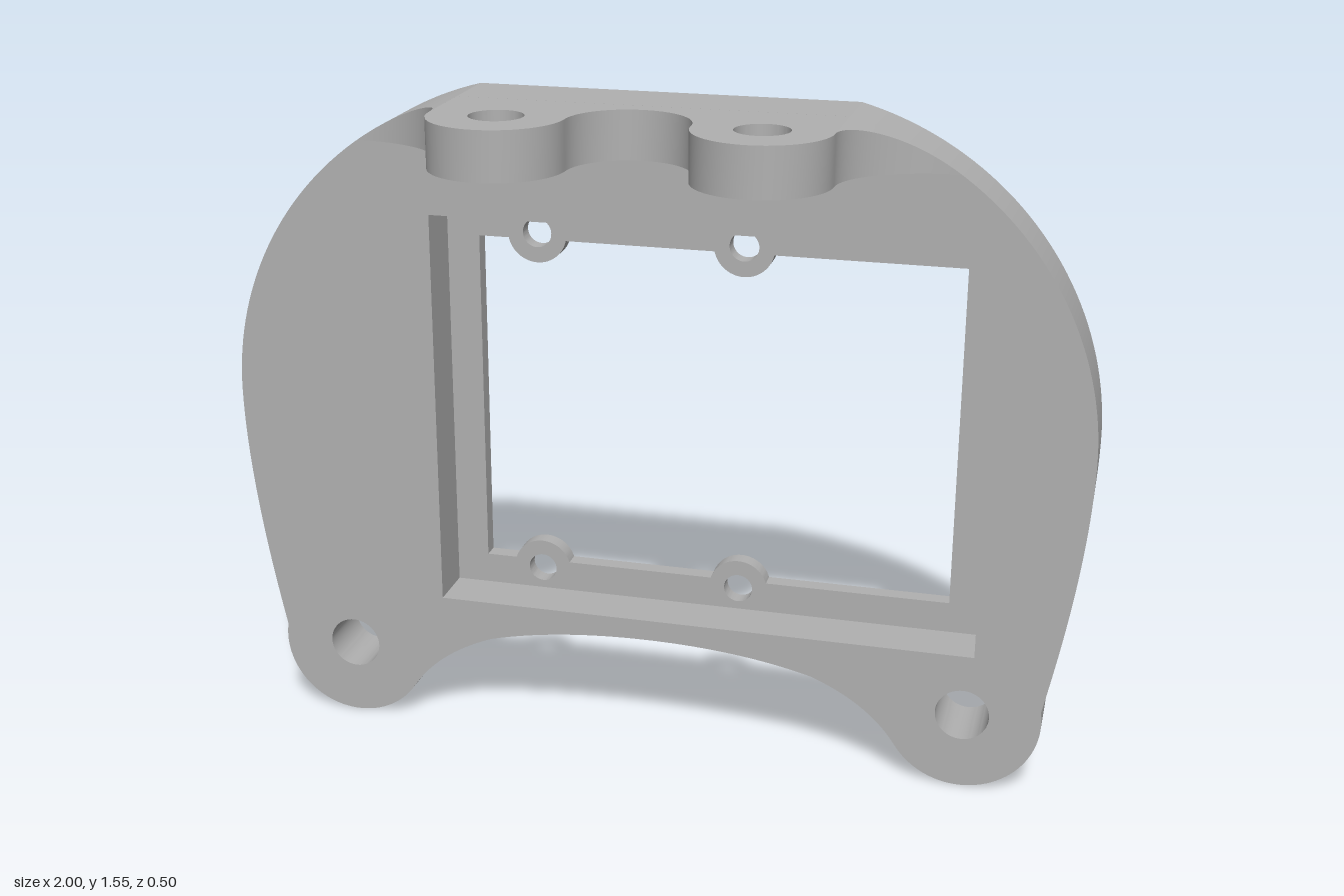
import * as THREE from 'three';
import { toCreasedNormals } from 'three/addons/utils/BufferGeometryUtils.js';

const BACK = -0.255, LEDGE = -0.2, FRONT = -0.078; // plate levels in z
const TOP = 1.55, UNDER = 1.44;                    // bracket levels in y
const CHAMFER = 0.016;
const FLAT = 0.435;                                // half width of the flat top
const ARC = { x: 0.2458, y: 0.82, r: 0.7542 };     // shoulder arc

// Remove doubled points from a loop
const clean = (pts) => pts.filter((p, i) => p.distanceTo(pts[(i + 1) % pts.length]) > 1e-5);

const arc = (x, y, r, a0, a1, n) => Array.from({ length: n + 1 }, (_, i) => {
  const a = a0 + (a1 - a0) * i / n;
  return new THREE.Vector2(x + r * Math.cos(a), y + r * Math.sin(a));
});
// Holes run clockwise, so that the same wall rule faces into the hole
const circle = (x, y, r) => clean(arc(x, y, r, Math.PI * 2, 0, 48));

// Move a loop into the material by d, with mitred corners
function inset(pts, d) {
  const n = pts.length;
  const normal = (a, b) => new THREE.Vector2(b.y - a.y, a.x - b.x).normalize();
  return pts.map((p, i) => {
    const n1 = normal(pts[(i + n - 1) % n], p), n2 = normal(p, pts[(i + 1) % n]);
    const k = -d / (1 + n1.dot(n2));
    return new THREE.Vector2(p.x + (n1.x + n2.x) * k, p.y + (n1.y + n2.y) * k);
  });
}

function quad(out, a, b, c, d) {
  out.push(...a, ...b, ...c, ...a, ...c, ...d);
}

// Wall between loop p at height w0 and loop q at height w1
function wall(out, p, w0, q, w1, closed = true) {
  const n = p.length;
  for (let i = 0; i < (closed ? n : n - 1); i++) {
    const j = (i + 1) % n;
    quad(out, [p[i].x, p[i].y, w0], [p[j].x, p[j].y, w0], [q[j].x, q[j].y, w1], [q[i].x, q[i].y, w1]);
  }
}

// Flat face with holes
function cap(out, contour, holes, w, flip = false) {
  const shape = new THREE.Shape(contour);
  shape.holes = holes.map((h) => new THREE.Path(h));
  const geo = new THREE.ShapeGeometry(shape);
  const pos = geo.attributes.position, idx = geo.index.array;
  for (let i = 0; i < idx.length; i += 3) {
    const tri = flip ? [idx[i], idx[i + 2], idx[i + 1]] : [idx[i], idx[i + 1], idx[i + 2]];
    for (const k of tri) out.push(pos.getX(k), pos.getY(k), w);
  }
}

function toGeometry(out) {
  const geo = new THREE.BufferGeometry();
  geo.setAttribute('position', new THREE.Float32BufferAttribute(out, 3));
  return geo;
}

// Plate outline: right half drawn from bottom centre to top, then mirrored
function plateOutline() {
  const deg = Math.PI / 180, half = new THREE.Path();
  half.moveTo(0, 0.28);
  half.quadraticCurveTo(0.22, 0.28, 0.39, 0.235);
  half.quadraticCurveTo(0.529, 0.183, 0.594, 0.082);
  half.absarc(0.745, 0.18, 0.18, 213 * deg, 370 * deg, false);
  half.quadraticCurveTo(1, 0.58, 1, 0.82);
  half.absarc(ARC.x, ARC.y, ARC.r, 0, Math.atan2(TOP - ARC.y, FLAT - ARC.x), false);
  const right = half.getPoints(20);
  const left = right.slice(1).reverse().map((p) => new THREE.Vector2(-p.x, p.y));
  return clean([...right, ...left]);
}

const BOSS_X = [-0.295, 0.19], BOSS_Y = [0.383, 1.22], BOSS_R = 0.07;

// Window opening with four half-round bosses reaching into it (clockwise)
function windowOutline() {
  const x0 = -0.435, x1 = 0.69, y0 = 0.403, y1 = 1.205;
  const pts = [new THREE.Vector2(x0, y0), new THREE.Vector2(x0, y1)];
  const top = Math.asin((y1 - BOSS_Y[1]) / BOSS_R), low = Math.asin((y0 - BOSS_Y[0]) / BOSS_R);
  for (const x of BOSS_X) pts.push(...arc(x, BOSS_Y[1], BOSS_R, Math.PI - top, Math.PI * 2 + top, 24));
  pts.push(new THREE.Vector2(x1, y1), new THREE.Vector2(x1, y0));
  for (const x of [...BOSS_X].reverse()) pts.push(...arc(x, BOSS_Y[0], BOSS_R, low, Math.PI - low, 24));
  return clean(pts);
}

function frameGeometry() {
  const out = [];
  const outline = plateOutline(), opening = windowOutline();
  const recess = [[-0.512, 0.33], [-0.512, 1.278], [0.765, 1.278], [0.765, 0.33]]
    .map(([x, y]) => new THREE.Vector2(x, y));
  const legHoles = [-0.745, 0.745].map((x) => circle(x, 0.182, 0.062));
  const screwHoles = BOSS_X.flatMap((x) => BOSS_Y.map((y) => circle(x, y, 0.034)));

  // Front face, recessed ledge and back face
  cap(out, outline, [recess, ...legHoles], FRONT);
  cap(out, [...recess].reverse(), [opening, ...screwHoles], LEDGE);
  const backHoles = [opening, ...legHoles, ...screwHoles].map((h) => inset(h, CHAMFER));
  cap(out, inset(outline, CHAMFER), backHoles, BACK, true);

  // Side walls, each with a chamfer at the back
  wall(out, recess, LEDGE, recess, FRONT);
  const chamfered = (loop, front) => {
    wall(out, loop, BACK + CHAMFER, loop, front);
    wall(out, inset(loop, CHAMFER), BACK, loop, BACK + CHAMFER);
  };
  [outline, ...legHoles].forEach((l) => chamfered(l, FRONT));
  [opening, ...screwHoles].forEach((l) => chamfered(l, LEDGE));
  return toCreasedNormals(toGeometry(out), 0.2);
}

// Two-lobed bracket, drawn flat with v = -z and then laid down
function bracketGeometry() {
  const out = [], z = 0.1, r = 0.15, pi = Math.PI;
  const edge = [
    ...arc(-0.285, -z, r, pi, 2 * pi, 28),
    ...arc(0, -z, 0.135, pi, 0, 28).slice(1),
    ...arc(0.285, -z, r, pi, 2 * pi, 28).slice(1),
  ];
  const contour = [new THREE.Vector2(FLAT, -FRONT), new THREE.Vector2(-FLAT, -FRONT), ...edge];
  const holes = [-0.285, 0.285].map((x) => circle(x, -z, 0.06));
  cap(out, contour, holes, TOP);
  cap(out, contour, holes, UNDER, true);
  wall(out, edge, UNDER, edge, TOP, false);
  holes.forEach((h) => wall(out, h, UNDER, h, TOP));
  return toCreasedNormals(toGeometry(out).rotateX(-pi / 2), 0.2);
}

// Curved wing blending a lobe into the plate, its top following the shoulder arc
function wingGeometry(side) {
  const out = [], n = 24;
  const reach = ARC.x + Math.sqrt(ARC.r ** 2 - (UNDER - ARC.y) ** 2) - FLAT;
  const at = (i) => {
    const a = (i / n) * Math.PI / 2;
    const x = FLAT + reach * (1 - Math.cos(a));
    const y = ARC.y + Math.sqrt(ARC.r ** 2 - (x - ARC.x) ** 2);
    return { x: x * side, y, z: 0.1 - (0.1 - FRONT) * Math.sin(a) };
  };
  const put = (...q) => quad(out, ...(side > 0 ? q : q.reverse()));
  for (let i = 0; i < n; i++) {
    const p = at(i), q = at(i + 1);
    put([p.x, p.y, FRONT], [p.x, p.y, p.z], [q.x, q.y, q.z], [q.x, q.y, FRONT]);
    put([q.x, UNDER, FRONT], [q.x, UNDER, q.z], [p.x, UNDER, p.z], [p.x, UNDER, FRONT]);
    put([p.x, UNDER, p.z], [q.x, UNDER, q.z], [q.x, q.y, q.z], [p.x, p.y, p.z]);
  }
  return toCreasedNormals(toGeometry(out), 0.2);
}

export function createModel() {
  const grey = new THREE.MeshStandardMaterial({ color: 0xb0b0b0 });
  grey.name = 'grey';
  const group = new THREE.Group();
  group.name = 'mountingFrame';
  const add = (name, geometry) => {
    const mesh = new THREE.Mesh(geometry, grey);
    mesh.name = name;
    group.add(mesh);
  };
  add('framePlate', frameGeometry());
  add('topBracket', bracketGeometry());
  add('leftBracketWing', wingGeometry(1));
  add('rightBracketWing', wingGeometry(-1));
  return group;
}
